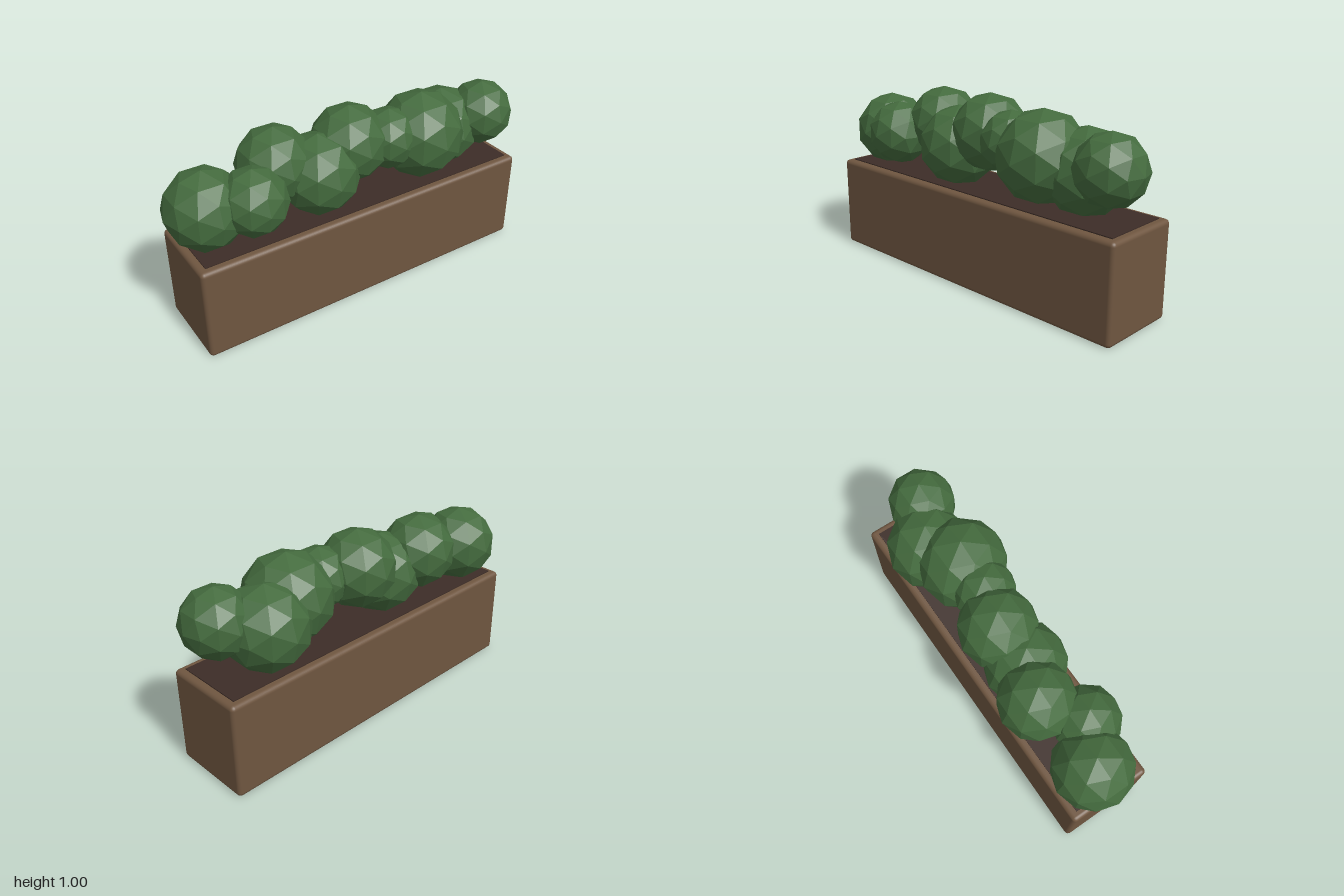
import * as THREE from 'three';
import { RoundedBoxGeometry } from 'three/addons/geometries/RoundedBoxGeometry.js';

function material(name, color, flatShading = false) {
  const m = new THREE.MeshStandardMaterial({ color, flatShading });
  m.name = name;
  return m;
}

export function createModel() {
  const model = new THREE.Group();
  model.name = 'planter';
  const wood = material('brown wood', 0x6f5640);
  const earth = material('dark soil', 0x3d2d27);
  const leaf = material('leaf green', 0x446b3e, true);

  function add(parent, name, geometry, mat, x, y, z) {
    const mesh = new THREE.Mesh(geometry, mat);
    mesh.name = name;
    mesh.position.set(x, y, z);
    parent.add(mesh);
    return mesh;
  }

  // Long trough with softened edges, and the soil just above its top
  add(model, 'trough', new RoundedBoxGeometry(1.914, 0.506, 0.444, 3, 0.022), wood, 0.013, 0.253, -0.008);
  add(model, 'soil', new THREE.BoxGeometry(1.836, 0.04, 0.364), earth, 0.013, 0.491, -0.008);

  // Row of faceted bushes: x, y, z, radius
  const bushes = [
    [-0.792, 0.68, -0.033, 0.208],
    [-0.592, 0.707, 0.076, 0.175],
    [-0.392, 0.772, -0.077, 0.2],
    [-0.19, 0.692, 0.002, 0.217],
    [0.01, 0.789, -0.025, 0.207],
    [0.212, 0.783, 0.035, 0.163],
    [0.416, 0.748, 0.036, 0.236],
    [0.617, 0.7, -0.046, 0.22],
    [0.82, 0.766, 0.05, 0.178],
  ];
  const shrubs = new THREE.Group();
  shrubs.name = 'shrubs';
  model.add(shrubs);
  const ball = new THREE.IcosahedronGeometry(1, 1);
  bushes.forEach(([x, y, z, r], i) => {
    add(shrubs, `bush${i + 1}`, ball, leaf, x, y, z).scale.setScalar(r);
  });

  return model;
}
